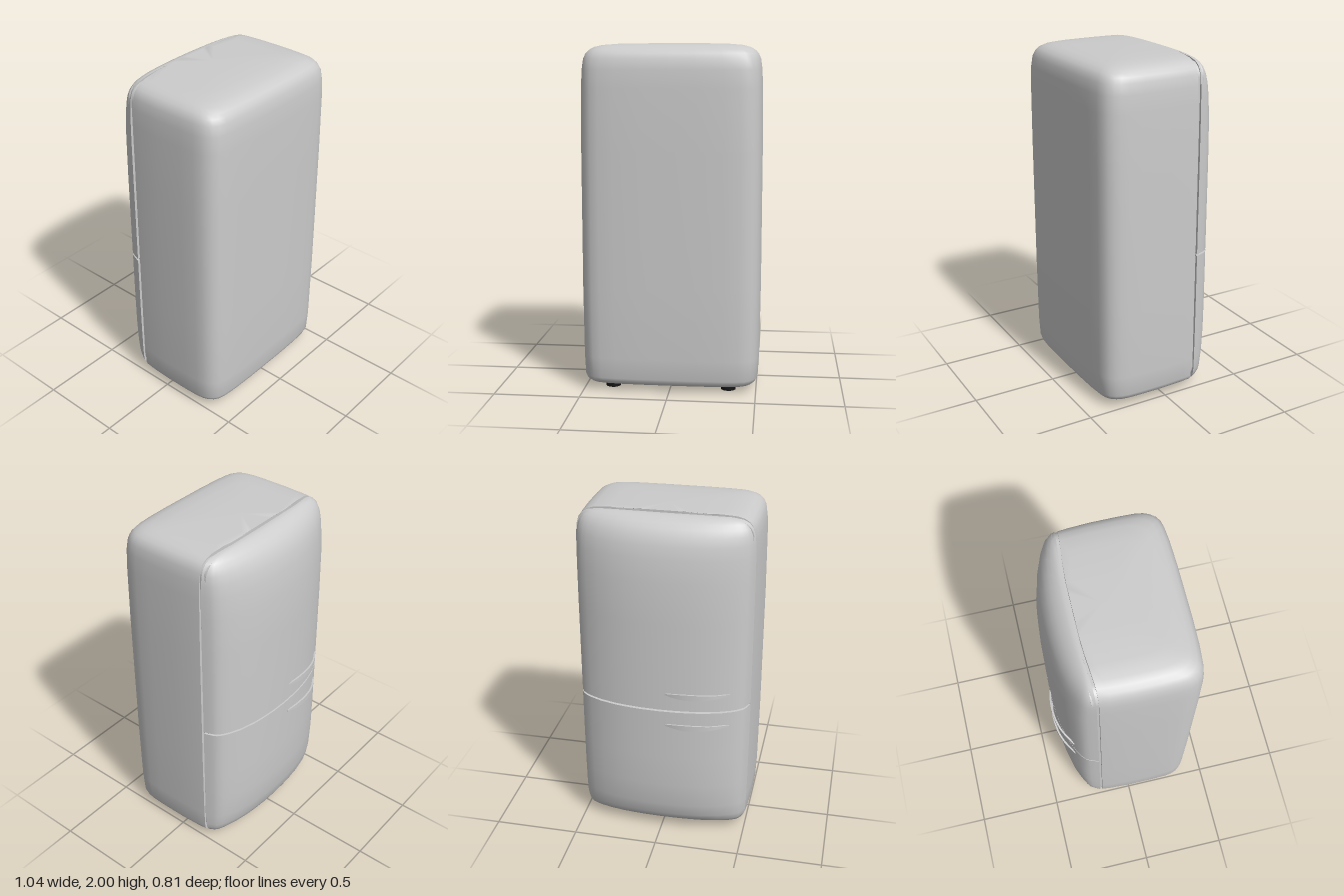
import * as THREE from 'three';
import { toCreasedNormals } from 'three/addons/utils/BufferGeometryUtils.js';

const grey = new THREE.MeshStandardMaterial({ color: 0xcccccc });
const black = new THREE.MeshStandardMaterial({ color: 0x151515 });

// Half plans as [fraction of half width, fraction of depth from the seam]
const BODY_PLAN = [[0.975, 0], [0.988, 0.1], [1, 0.32], [1, 0.6], [0.994, 0.75], [0.98, 0.83], [0.955, 0.885],
  [0.915, 0.93], [0.86, 0.962], [0.77, 0.98], [0.6, 0.993], [0.3, 1], [0, 1]];
const DOOR_PLAN = [[1, 0], [0.985, 0.12], [0.965, 0.26], [0.94, 0.38], [0.89, 0.49], [0.83, 0.585], [0.69, 0.74],
  [0.5, 0.87], [0.35, 0.935], [0.2, 0.98], [0, 1]];

// Horizontal sections as [y, half width, z of the far side]
const BODY_LEVELS = [[0.025, 0.25, 0.22], [0.03, 0.4, 0.31], [0.035, 0.455, 0.35], [0.045, 0.485, 0.375],
  [0.06, 0.502, 0.388], [0.08, 0.509, 0.394], [0.2, 0.514, 0.4], [0.6, 0.518, 0.402], [1.4, 0.518, 0.402],
  [1.75, 0.514, 0.401], [1.85, 0.51, 0.397], [1.91, 0.502, 0.389], [1.94, 0.49, 0.376], [1.96, 0.473, 0.36],
  [1.977, 0.445, 0.33], [1.988, 0.405, 0.29], [1.996, 0.32, 0.21], [2, 0.15, 0.08]];
const LOWER_LEVELS = [[0.032, 0.33, -0.235], [0.036, 0.42, -0.26], [0.045, 0.46, -0.285], [0.06, 0.483, -0.31],
  [0.085, 0.495, -0.336], [0.12, 0.501, -0.354], [0.2, 0.504, -0.374], [0.35, 0.506, -0.387],
  [0.55, 0.507, -0.39], [0.859, 0.507, -0.39]];
const UPPER_LEVELS = [[0.871, 0.507, -0.39], [1.4, 0.507, -0.39], [1.65, 0.506, -0.385], [1.78, 0.504, -0.37],
  [1.85, 0.501, -0.356], [1.9, 0.495, -0.337], [1.935, 0.483, -0.314], [1.96, 0.463, -0.29],
  [1.977, 0.43, -0.265], [1.987, 0.37, -0.245], [1.991, 0.27, -0.232]];

// Stacks a mirrored plan along y; the seam side bows outwards in the middle
function loft(plan, levels, seam) {
  const outline = [...plan, ...plan.slice(0, -1).reverse().map(([u, t]) => [-u, t])];
  for (const u of [-0.8, -0.6, -0.4, -0.2, 0, 0.2, 0.4, 0.6, 0.8]) outline.push([u, 0]);
  const n = outline.length, pos = [], index = [];
  const flip = levels[0][2] < seam;
  const tri = (a, b, c) => (flip ? index.push(a, c, b) : index.push(a, b, c));
  levels.forEach(([y, w, far], j) => {
    for (const [u, t] of outline) {
      const bow = -0.022 * (1 - THREE.MathUtils.smoothstep(Math.abs(u * w), 0.15, 0.48));
      pos.push(u * w, y, seam + (far - seam) * t + bow * (1 - t));
    }
    if (j === 0) return;
    for (let i = 0; i < n; i++) {
      const a = (j - 1) * n + i, b = (j - 1) * n + (i + 1) % n;
      tri(a, a + n, b + n);
      tri(a, b + n, b);
    }
  });
  // End caps
  for (const j of [0, levels.length - 1]) {
    const [y, , far] = levels[j], centre = pos.length / 3;
    pos.push(0, y, (seam + far) / 2);
    for (let i = 0; i < n; i++) {
      const a = j * n + i, b = j * n + (i + 1) % n;
      if (j === 0) tri(centre, a, b);
      else tri(centre, b, a);
    }
  }
  const geo = new THREE.BufferGeometry();
  geo.setAttribute('position', new THREE.Float32BufferAttribute(pos, 3));
  geo.setIndex(index);
  return toCreasedNormals(geo, 0.8);
}

// Rounded slab that fills the seam behind the doors
function gasketGeometry() {
  const w = 0.49, y0 = 0.05, y1 = 1.972, r = 0.085;
  const s = new THREE.Shape();
  s.absarc(w - r, y1 - r, r, 0, Math.PI / 2);
  s.absarc(-w + r, y1 - r, r, Math.PI / 2, Math.PI);
  s.absarc(-w + r, y0 + r, r, Math.PI, Math.PI * 1.5);
  s.absarc(w - r, y0 + r, r, Math.PI * 1.5, Math.PI * 2);
  return new THREE.ExtrudeGeometry(s, { depth: 0.05, bevelEnabled: false, curveSegments: 8 }).translate(0, 0, -0.22);
}

// Thin bowed strip, tapering to both ends
function handleGeometry() {
  const curve = new THREE.CatmullRomCurve3([[-0.4, -0.32], [-0.31, -0.373], [-0.24, -0.395], [-0.16, -0.403],
    [-0.1, -0.399], [-0.04, -0.387]].map(([x, z]) => new THREE.Vector3(x, 0, z)));
  const geo = new THREE.BoxGeometry(1, 1, 1, 28, 1, 1);
  const p = geo.attributes.position;
  for (let i = 0; i < p.count; i++) {
    const s = p.getX(i) + 0.5;
    const c = curve.getPoint(s), t = curve.getTangent(s);
    const off = p.getZ(i) * 0.01, h = 0.008 + 0.028 * Math.sin(Math.PI * s);
    p.setXYZ(i, c.x - t.z * off, p.getY(i) * h, c.z + t.x * off);
  }
  return toCreasedNormals(geo, 0.7);
}

export function createModel() {
  const model = new THREE.Group();
  model.name = 'refrigerator';
  const add = (name, geo, material = grey) => {
    const mesh = new THREE.Mesh(geo, material);
    mesh.name = name;
    model.add(mesh);
    return mesh;
  };

  add('cabinet', loft(BODY_PLAN, BODY_LEVELS, -0.182));
  add('gasket', gasketGeometry());
  add('lowerDoor', loft(DOOR_PLAN, LOWER_LEVELS, -0.197));
  add('upperDoor', loft(DOOR_PLAN, UPPER_LEVELS, -0.197));
  // Recessed strip between the doors
  add('doorDivider', loft(DOOR_PLAN, [[0.855, 0.492, -0.368], [0.875, 0.492, -0.368]], -0.195));

  // Handles on either side of the split
  const handle = handleGeometry();
  add('lowerHandle', handle).position.y = 0.772;
  add('upperHandle', handle).position.y = 0.974;

  // Feet: a disc on a short stem
  const disc = new THREE.CylinderGeometry(0.043, 0.043, 0.017, 20);
  const stem = new THREE.CylinderGeometry(0.02, 0.02, 0.035, 16);
  for (const x of [-0.34, 0.34]) {
    for (const z of [-0.122, 0.262]) {
      add('foot', disc, black).position.set(x, 0.0085, z);
      add('footStem', stem, black).position.set(x, 0.025, z);
    }
  }
  return model;
}
